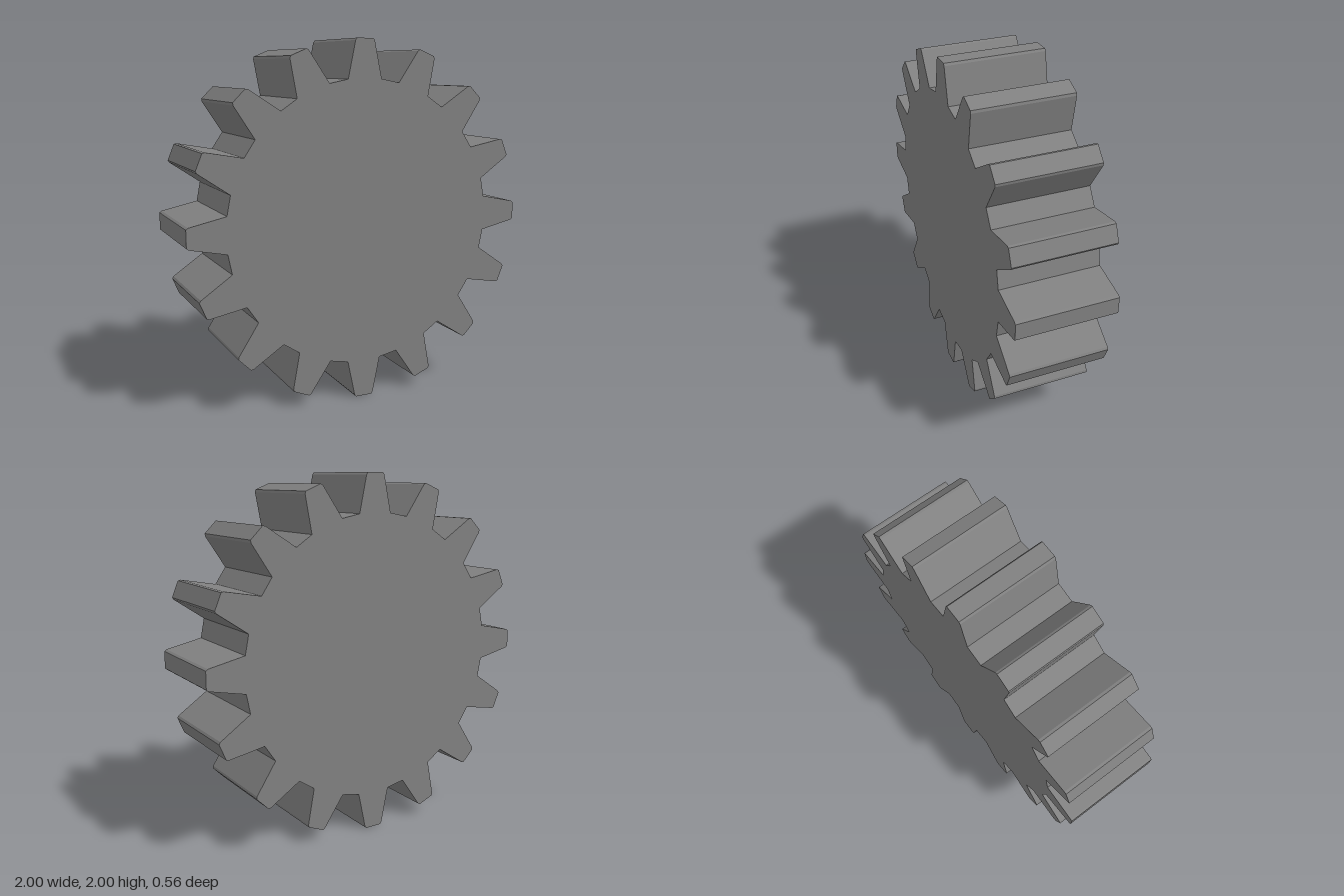
import * as THREE from 'three';

export function createModel() {
  const group = new THREE.Group();
  group.name = 'spurGear';
  const steel = new THREE.MeshStandardMaterial({ color: 0x808080 });
  steel.name = 'steel grey';

  // One tooth pointing outward: [sideways, radial], from root to root
  const half = [[0.1, 0.785], [0.057, 0.988], [0.048, 1]];
  const tooth = [...half, ...half.map(([s, r]) => [-s, r]).reverse()];

  // Repeat the tooth counter-clockwise; straight root lands join neighbours
  const teeth = 16;
  const outline = [];
  for (let i = 0; i < teeth; i++) {
    const a = (i / teeth) * Math.PI * 2;
    for (const [s, r] of tooth) {
      outline.push(new THREE.Vector2(s, r).rotateAround(new THREE.Vector2(), a));
    }
  }

  // Solid gear body, hard edged, standing on the ground
  const depth = 0.56;
  const geometry = new THREE.ExtrudeGeometry(new THREE.Shape(outline), { depth, bevelEnabled: false });
  geometry.translate(0, 1, -depth / 2);
  const gear = new THREE.Mesh(geometry, steel);
  gear.name = 'toothedWheel';
  group.add(gear);
  return group;
}
